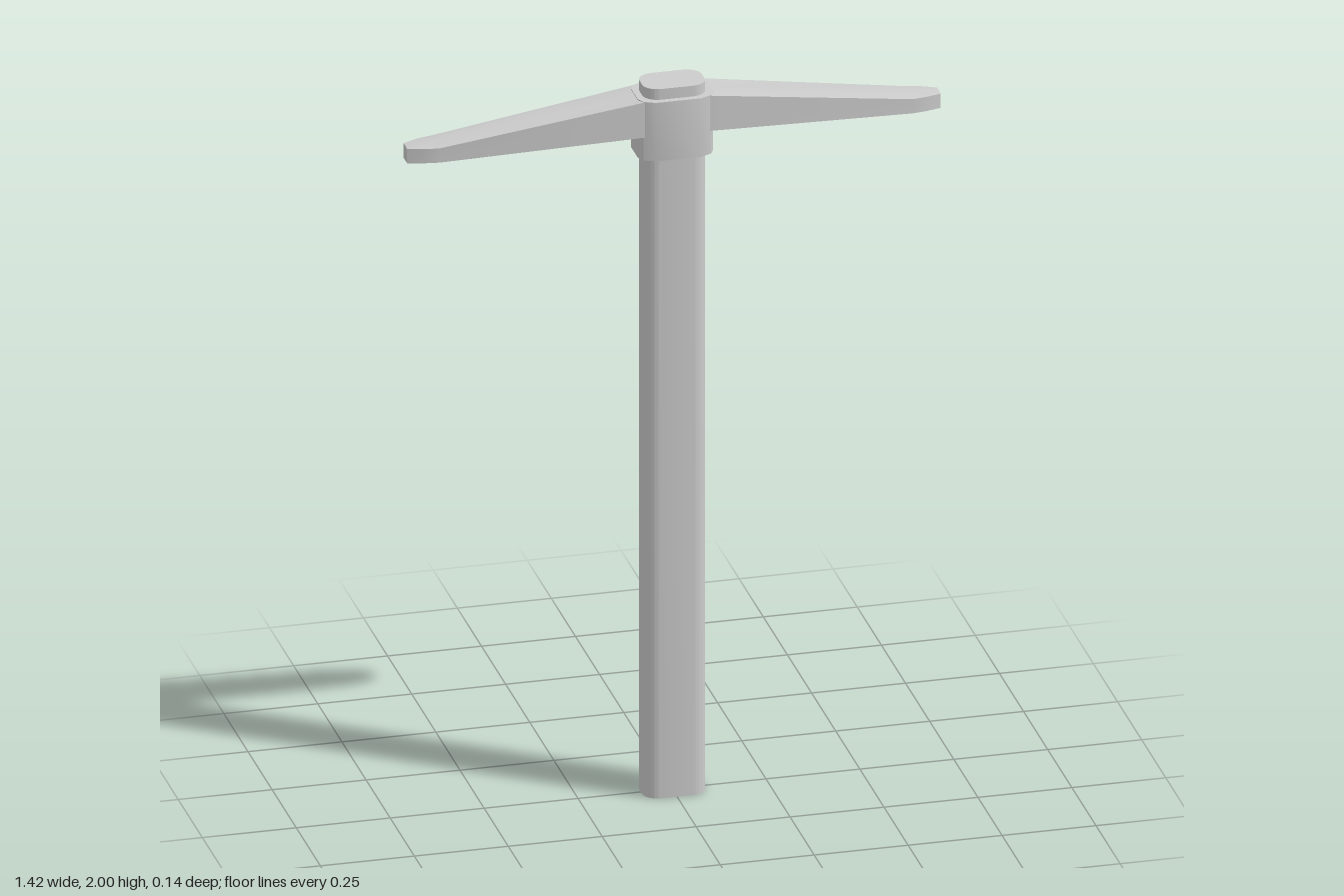
import * as THREE from 'three';
import { toCreasedNormals } from 'three/addons/utils/BufferGeometryUtils.js';

const material = new THREE.MeshStandardMaterial({ color: 0xcccccc });

function addMesh(parent, geometry, name) {
  const mesh = new THREE.Mesh(toCreasedNormals(geometry, 0.6), material);
  mesh.name = name;
  parent.add(mesh);
  return mesh;
}

// Upright prism from a plan outline
function prism(shape, y0, y1) {
  return new THREE.ExtrudeGeometry(shape, { depth: y1 - y0, bevelEnabled: false, curveSegments: 6 })
    .rotateX(-Math.PI / 2).translate(0, y0, 0);
}

// Rectangle with elliptical corners
function roundedRect(w, d, rx, rz) {
  const s = new THREE.Shape();
  s.absellipse(w - rx, d - rz, rx, rz, 0, Math.PI / 2);
  s.absellipse(rx - w, d - rz, rx, rz, Math.PI / 2, Math.PI);
  s.absellipse(rx - w, rz - d, rx, rz, Math.PI, Math.PI * 1.5);
  s.absellipse(w - rx, rz - d, rx, rz, Math.PI * 1.5, Math.PI * 2);
  s.closePath();
  return s;
}

// Arm lofted through sections: [x, half width, bottom, side top, ridge top]
function armGeometry() {
  const sections = [
    [0.08, 0.058, 1.87, 1.97, 1.97],
    [0.63, 0.043, 1.853, 1.893, 1.901],
    [0.67, 0.035, 1.852, 1.892, 1.897],
    [0.71, 0.02, 1.85, 1.89, 1.892],
  ];
  const positions = [], index = [], n = 5;
  for (const [x, w, bottom, side, ridge] of sections) {
    positions.push(x, bottom, w, x, bottom, -w, x, side, -w, x, ridge, 0, x, side, w);
  }
  for (let i = 0; i < sections.length - 1; i++) {
    for (let j = 0; j < n; j++) {
      const a = i * n + j, b = i * n + (j + 1) % n;
      index.push(a, b, a + n, b, b + n, a + n);
    }
  }
  // End caps
  const last = (sections.length - 1) * n;
  for (let j = 1; j < n - 1; j++) {
    index.push(0, j + 1, j, last, last + j, last + j + 1);
  }
  const g = new THREE.BufferGeometry();
  g.setAttribute('position', new THREE.Float32BufferAttribute(positions, 3));
  g.setIndex(index);
  return g;
}

export function createModel() {
  const model = new THREE.Group();
  model.name = 'pickaxe';

  // Handle, poking out through the top of the head
  addMesh(model, prism(roundedRect(0.083, 0.053, 0.042, 0.038), 0, 2), 'handle');

  // Head: collar around the handle and two mirrored arms
  const head = new THREE.Group();
  head.name = 'head';
  model.add(head);

  const corner = [[0.1, 0.035], [0.09, 0.056], [0.06, 0.07]];
  const flipped = [...corner].reverse();
  const outline = [
    ...corner,
    ...flipped.map(([x, z]) => [-x, z]),
    ...corner.map(([x, z]) => [-x, -z]),
    ...flipped.map(([x, z]) => [x, -z]),
  ].map(([x, z]) => new THREE.Vector2(x, z));
  addMesh(head, prism(new THREE.Shape(outline), 1.805, 1.97), 'collar');

  addMesh(head, armGeometry(), 'leftArm');
  addMesh(head, armGeometry(), 'rightArm').rotation.y = Math.PI;

  return model;
}
